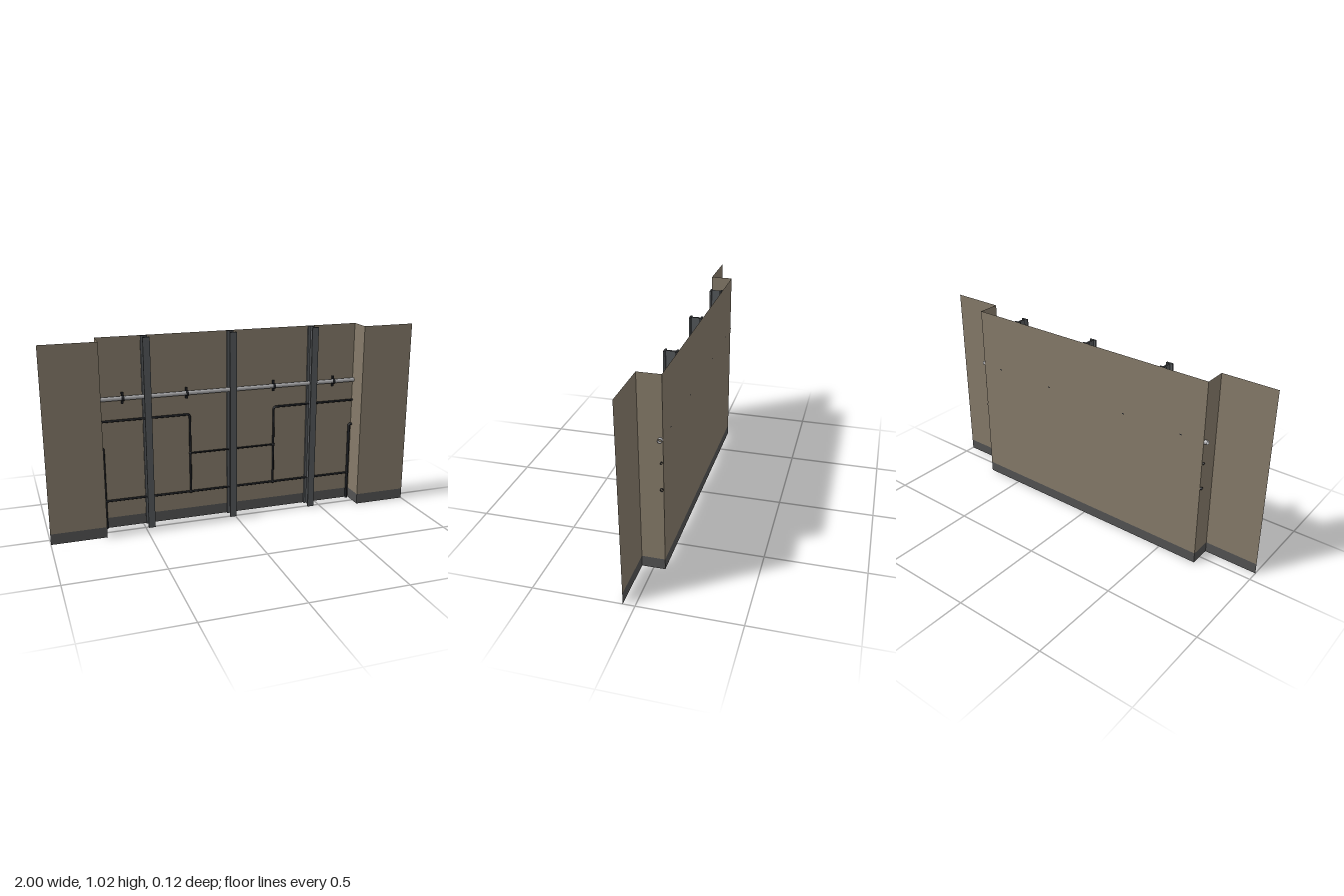
import * as THREE from 'three';

const mat = (name, color) => {
  const m = new THREE.MeshStandardMaterial({ color, side: THREE.DoubleSide });
  m.name = name;
  return m;
};

export function createModel() {
  const plaster = mat('wall plaster', 0x857a69);
  const skirting = mat('skirting grey', 0x525252);
  const steel = mat('beam steel', 0x54575a);
  const chrome = mat('pale pipe metal', 0xa6a6a8);
  const black = mat('black pipe', 0x1c1e22);

  const root = new THREE.Group();
  root.name = 'wallSection';
  const add = (name, geo, material, x = 0, y = 0, z = 0) => {
    const mesh = new THREE.Mesh(geo, material);
    mesh.name = name;
    mesh.position.set(x, y, z);
    root.add(mesh);
    return mesh;
  };

  // Upright open sheet following an outline of [x, z] points
  const sheet = (points, y0, y1) => {
    const pos = [];
    for (let i = 0; i < points.length - 1; i++) {
      const [ax, az] = points[i];
      const [bx, bz] = points[i + 1];
      pos.push(ax, y0, az, bx, y0, bz, bx, y1, bz, ax, y0, az, bx, y1, bz, ax, y1, az);
    }
    const g = new THREE.BufferGeometry();
    g.setAttribute('position', new THREE.Float32BufferAttribute(pos, 3));
    g.computeVertexNormals();
    return g;
  };

  // Thin wall with a recessed middle bay and a dark base band
  const H = 1.02, BAND = 0.057, F = 0.058, X = 0.713;
  const plan = [[-1, F], [-X, F], [-X, -F], [X, -F], [X, F], [1, F]];
  add('wall', sheet(plan, BAND, H), plaster);
  add('skirtingBand', sheet(plan, 0, BAND), skirting);

  // Open-ended I-beams
  const w = 0.018, t = 0.004, zf = 0.01, zb = -0.055, fl = 0.009;
  const half = [[w, zf], [w, zf - fl], [t, zf - fl], [t, zb + fl], [w, zb + fl], [w, zb]];
  const mirrored = half.map(([x, z]) => [-x, z]).reverse();
  const profile = [...half, ...mirrored, half[0]].reverse();
  for (const x of [-0.467, -0.012, 0.448]) add('beam', sheet(profile, 0, H), steel, x);

  // Large pale pipe, open at both ends
  const PY = 0.705, PZ = -0.047;
  add('mainPipe', new THREE.CylinderGeometry(0.011, 0.011, 1.46, 16, 1, true), chrome, 0, PY, PZ)
    .rotation.z = Math.PI / 2;

  // Clips holding the pale pipe
  for (const x of [-0.587, -0.25, 0.235, 0.587]) {
    add('clipPlate', new THREE.BoxGeometry(0.012, 0.06, 0.006), black, x, PY, -0.053);
    add('clipRing', new THREE.CylinderGeometry(0.0145, 0.0145, 0.014, 16, 1, true), black, x, PY, PZ + 0.003)
      .rotation.z = Math.PI / 2;
  }

  // Thin pipe through corner points with rounded bends
  const BZ = -0.049;
  const pipe = (name, pts, r, bend = 0.016) => {
    const v = pts.map(([x, y]) => new THREE.Vector3(x, y, BZ));
    const path = new THREE.CurvePath();
    let from = v[0];
    for (let i = 1; i < v.length - 1; i++) {
      const into = v[i].clone().add(v[i - 1].clone().sub(v[i]).setLength(bend));
      const out = v[i].clone().add(v[i + 1].clone().sub(v[i]).setLength(bend));
      path.add(new THREE.LineCurve3(from, into));
      path.add(new THREE.QuadraticBezierCurve3(into, v[i], out));
      from = out;
    }
    path.add(new THREE.LineCurve3(from, v[v.length - 1]));
    add(name, new THREE.TubeGeometry(path, pts.length > 2 ? 140 : 1, r, 8), black);
  };

  const L = -0.235, R = 0.238, TOP = 0.588, MID = 0.373, LOW = 0.155;
  pipe('upperLoopRight', [[-0.72, TOP], [L, TOP], [L, LOW]], 0.006);
  pipe('upperLoopLeft', [[0.72, TOP], [R, TOP], [R, LOW]], 0.006);
  pipe('middlePipe', [[L, MID], [R, MID]], 0.005);
  pipe('lowerPipe', [[-0.698, LOW], [0.696, LOW]], 0.006);
  for (const s of [-1, 1]) pipe('downPipe', [[s * 0.72, 0.447], [s * 0.698, 0.447], [s * 0.698, 0]], 0.0075, 0.01);

  // Junction fittings
  for (const [x, y] of [[L, MID], [L, LOW], [R, MID], [R, LOW], [-0.698, LOW], [0.698, LOW]]) {
    add('fitting', new THREE.SphereGeometry(0.009, 10, 8), black, x, y, BZ);
  }
  return root;
}
